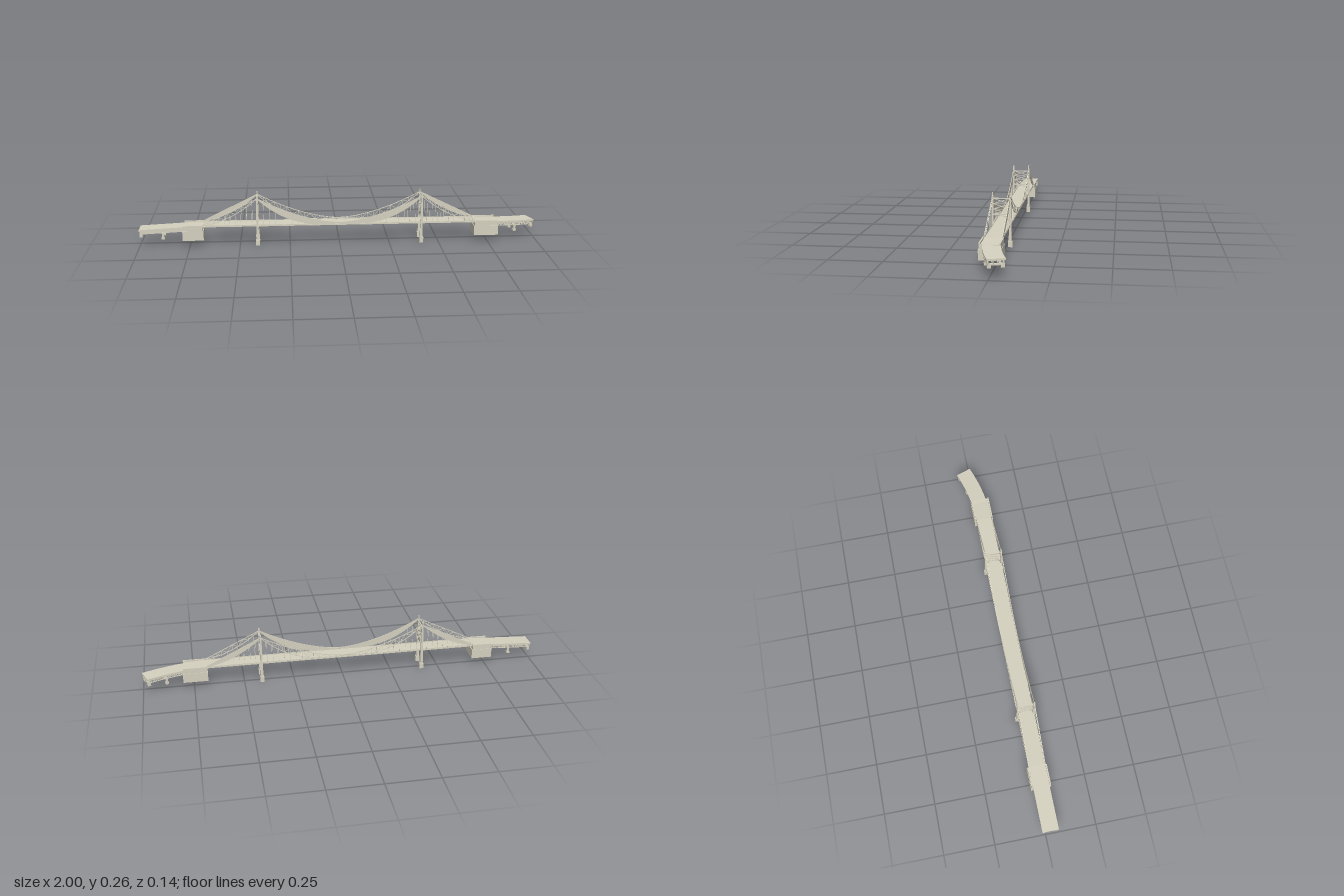
import * as THREE from 'three';

const mat = new THREE.MeshStandardMaterial({ color: 0xd6d2c0, flatShading: true, side: THREE.DoubleSide });
const V = (x, y, z) => new THREE.Vector3(x, y, z);
const C = 0.0215;      // z of the bridge centre line
const HALF = 0.041;    // centre line to leg and cable planes
const TOWER = 0.412, ANCHOR = 0.685;

function group(name, parent) {
  const g = new THREE.Group();
  g.name = name;
  parent.add(g);
  return g;
}
function add(parent, name, geo) {
  const m = new THREE.Mesh(geo, mat);
  m.name = name;
  parent.add(m);
  return m;
}
function box(parent, name, x0, x1, y0, y1, z0, z1) {
  add(parent, name, new THREE.BoxGeometry(x1 - x0, y1 - y0, z1 - z0))
    .position.set((x0 + x1) / 2, (y0 + y1) / 2, (z0 + z1) / 2);
}
// square bar between two points
function beam(parent, name, a, b, w = 0.002, d = w) {
  const m = add(parent, name, new THREE.BoxGeometry(w, d, a.distanceTo(b)));
  m.position.copy(a).add(b).multiplyScalar(0.5);
  m.lookAt(b);
}

// point on the roadway: straight, then bending towards -z past the +x anchorage
function road(u, y, off) {
  const t = Math.max(0, (u - 0.68) / 0.308);
  const slope = -0.11 * t / 0.308, len = Math.hypot(1, slope);
  return V(u - slope / len * off, y, C - 0.055 * t * t + off / len);
}
const roadTop = u => 0.105 - 0.016 * Math.max(0, (Math.abs(u) - 0.68) / 0.32);

// slab following the roadway, measured down from its top
function slab(parent, name, u0, u1, top, bottom, off0, off1) {
  const geo = new THREE.BoxGeometry(1, 1, 1, 14, 1, 1);
  const p = geo.attributes.position;
  for (let i = 0; i < p.count; i++) {
    const u = u0 + (p.getX(i) + 0.5) * (u1 - u0);
    const y = roadTop(u) + (p.getY(i) > 0 ? top : bottom);
    const q = road(u, y, p.getZ(i) > 0 ? off1 : off0);
    p.setXYZ(i, q.x, q.y, q.z);
  }
  geo.computeVertexNormals();
  add(parent, name, geo);
}

// upper and lower chord heights of the cable trusses, by distance from mid-span
function chords(x) {
  const a = Math.abs(x);
  if (a <= TOWER) {
    const t = a / TOWER, up = 0.112 + 0.13 * t ** 1.7;
    return [up, up - 0.17 * t ** 1.5 * (1 - t) - 0.002];
  }
  const s = (a - TOWER) / (ANCHOR - TOWER), up = 0.242 - 0.134 * s;
  return [up, up - 0.1 * s * (1 - s) - 0.002];
}

// one span of one cable plane: plated or latticed, with hangers to the deck
function cableSpan(parent, x0, x1, z, n, plated) {
  const g = group(plated ? 'platedCableTruss' : 'latticeCableTruss', parent);
  const xs = Array.from({ length: n + 1 }, (_, i) => x0 + (x1 - x0) * i / n);
  const up = xs.map(x => V(x, chords(x)[0], z)), low = xs.map(x => V(x, chords(x)[1], z));
  if (plated) {
    const shape = new THREE.Shape([...up, ...low.slice().reverse()].map(p => new THREE.Vector2(p.x, p.y)));
    const geo = new THREE.ExtrudeGeometry(shape, { depth: 0.003, bevelEnabled: false });
    add(g, 'cablePlate', geo).position.z = z - 0.0015;
  }
  for (let i = 0; i <= n; i++) {
    if (low[i].y > 0.11) beam(g, 'hanger', low[i], V(xs[i], 0.1, z), 0.0014);
    if (i === n) continue;
    beam(g, 'upperChord', up[i], up[i + 1], 0.003);
    beam(g, 'lowerChord', low[i], low[i + 1], 0.003);
    if (plated) continue;
    beam(g, 'truss post', up[i], low[i]);
    if (i % 2) beam(g, 'truss diagonal', up[i], low[i + 1]);
    else beam(g, 'truss diagonal', low[i], up[i + 1]);
  }
}

function tower(parent, x) {
  const g = group('tower', parent);
  for (const s of [-1, 1]) {
    const z = C + s * HALF;
    box(g, 'footing', x - 0.01, x + 0.01, 0, 0.028, z - 0.0105, z + 0.0105);
    const leg = add(g, 'towerLeg', new THREE.CylinderGeometry(0.0055, 0.0095, 0.214, 4, 1).rotateY(Math.PI / 4));
    leg.position.set(x, 0.135, z);
    box(g, 'legFinial', x - 0.003, x + 0.003, 0.24, 0.257, z - 0.0032, z + 0.0032);
  }
  const h = HALF - 0.003;
  const levels = [0.153, 0.178, 0.203, 0.228];
  levels.forEach((y, i) => {
    const end = i === 0 || i === 3;
    beam(g, 'crossBeam', V(x, y, C - h), V(x, y, C + h), end ? 0.006 : 0.002, end ? 0.005 : 0.002);
    if (i < 3) for (const s of [-1, 1])
      beam(g, 'crossBrace', V(x, y, C - s * h), V(x, levels[i + 1], C + s * h), 0.003, 0.0028);
  });
  // portal arch over the roadway
  const arch = new THREE.Shape();
  arch.absarc(0, 0, 0.037, 0, Math.PI, false);
  arch.absarc(0, 0, 0.033, Math.PI, 0, true);
  const geo = new THREE.ExtrudeGeometry(arch, { depth: 0.005, bevelEnabled: false, curveSegments: 16 });
  geo.translate(0, 0, -0.0025).rotateY(Math.PI / 2);
  add(g, 'portalArch', geo).position.set(x, 0.112, C);
}

function anchorage(parent, x0, x1) {
  const g = group('anchorage', parent);
  const w = 0.05, s = Math.sign(x0);
  box(g, 'anchorBlock', x0, x1, 0.032, 0.08, C - w, C + w);
  box(g, 'anchorUpperBlock', x0 + 0.004, x1 - 0.004, 0.08, 0.1, C - w + 0.002, C + w - 0.002);
  for (const k of [-1, 1])
    box(g, 'sideWall', x0 + 0.004, x1 - 0.004, 0.1, 0.108, C + k * 0.0445 - 0.0035, C + k * 0.0445 + 0.0035);
}

// girder under an approach: plate or lattice
function girder(parent, u0, u1, off, plated) {
  const g = group('approachGirder', parent);
  const T = -0.008, B = -0.025, n = 14;
  if (plated) return slab(g, 'girderPlate', u0, u1, T + 0.002, B, off - 0.0015, off + 0.0015);
  const at = (i, d) => {
    const u = u0 + (u1 - u0) * i / n;
    return road(u, roadTop(u) + d, off);
  };
  for (let i = 0; i <= n; i++) {
    beam(g, 'girder post', at(i, T), at(i, B), 0.0025);
    if (i === n) continue;
    beam(g, 'girder topChord', at(i, T), at(i + 1, T), 0.003);
    beam(g, 'girder bottomChord', at(i, B), at(i + 1, B), 0.003);
    beam(g, 'girder diagonal', at(i, T), at(i + 1, B));
    beam(g, 'girder diagonal', at(i, B), at(i + 1, T));
  }
}

// two columns under a cap beam, square to the road
function pier(parent, u, bottom) {
  const g = group('approachPier', parent);
  const top = roadTop(u) - 0.026;
  beam(g, 'pierCap', road(u, top, -0.036), road(u, top, 0.036), 0.014, 0.007);
  for (const s of [-1, 1]) {
    const p = road(u, 0, s * 0.029), angle = Math.atan2(p.x - road(u, 0, 0).x, p.z - road(u, 0, 0).z) * s;
    const shaft = add(g, 'pierColumn', new THREE.BoxGeometry(0.009, top - bottom, 0.011));
    shaft.position.set(p.x, (top + bottom) / 2, p.z);
    const foot = add(g, 'pierFoot', new THREE.BoxGeometry(0.016, 0.01, 0.016));
    foot.position.set(p.x, bottom + 0.005, p.z);
    const turn = s > 0 ? angle : -angle + Math.PI;
    shaft.rotation.y = foot.rotation.y = turn;
  }
}

export function createModel() {
  const model = new THREE.Group();
  model.name = 'suspensionBridge';

  // suspended deck with low edge rails
  const deck = group('deck', model);
  box(deck, 'mainDeck', -ANCHOR, ANCHOR, 0.098, 0.104, C - 0.042, C + 0.042);
  for (const s of [-1, 1])
    box(deck, 'edgeRail', -ANCHOR, ANCHOR, 0.104, 0.107, C + s * 0.0395 - 0.001, C + s * 0.0395 + 0.001);

  // towers and cable planes
  for (const s of [-1, 1]) {
    tower(model, s * TOWER);
    const z = C + s * HALF;
    cableSpan(model, -TOWER, TOWER, z, 28, s > 0);
    cableSpan(model, -ANCHOR, -TOWER, z, 10, s < 0);
    cableSpan(model, TOWER, ANCHOR, z, 10, s < 0);
  }
  anchorage(model, -0.785, -0.68);
  anchorage(model, 0.68, 0.803);

  // approaches
  for (const [u0, u1] of [[-1, -0.68], [0.68, 0.988]]) {
    const g = group('approach', model), left = u0 < 0;
    slab(g, 'approachDeck', u0, u1, 0, -0.008, -0.04, 0.04);
    const g0 = left ? -0.997 : 0.79, g1 = left ? -0.78 : 0.985;
    for (const off of [-0.033, -0.011, 0.011, 0.033])
      girder(g, g0, g1, off, left && off === 0.033);
    pier(g, left ? -0.99 : 0.978, 0.05);
    pier(g, left ? -0.882 : 0.89, 0.038);
  }
  return model;
}
